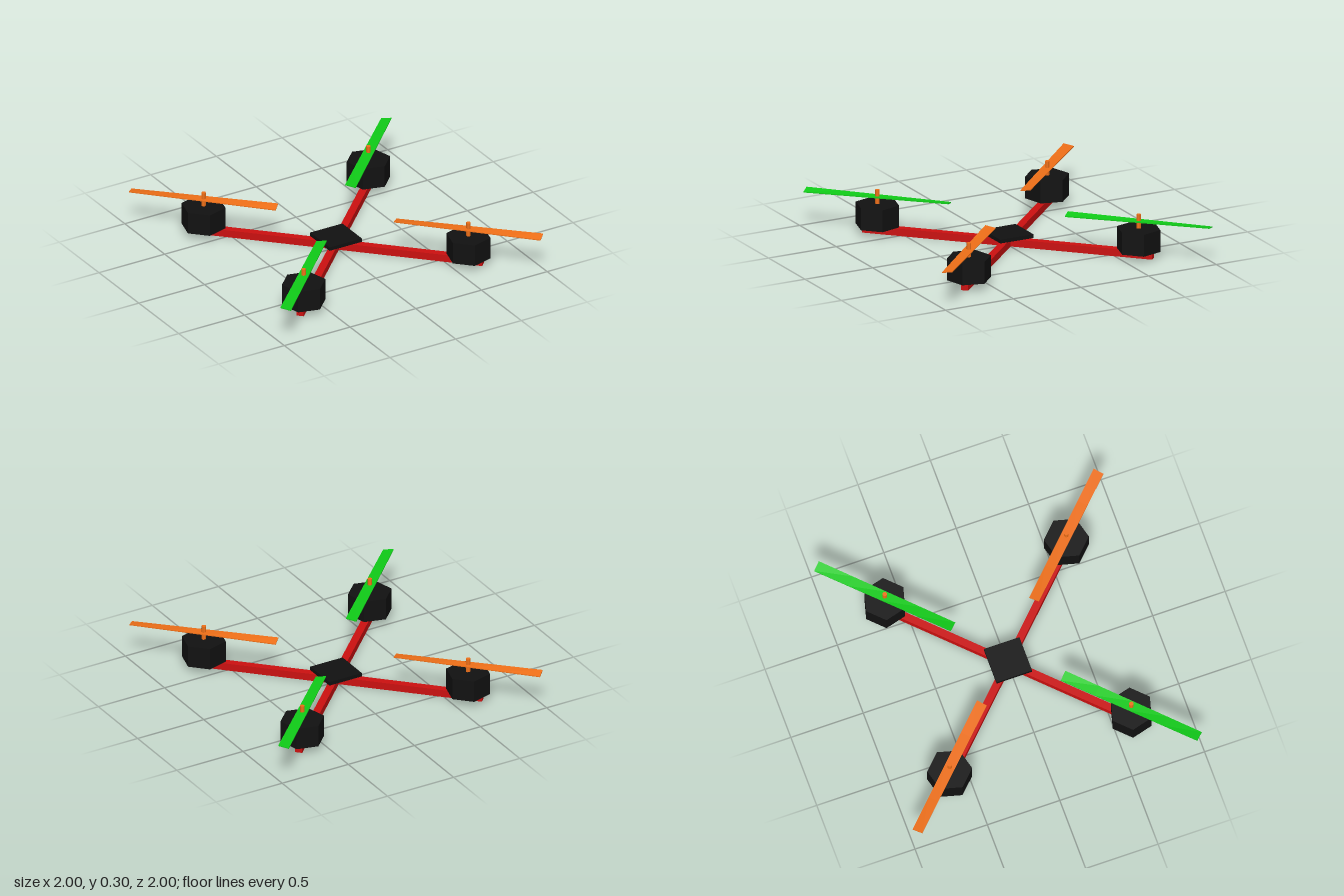
import * as THREE from 'three';

const material = (color) => new THREE.MeshStandardMaterial({ color, flatShading: true });

function addPart(parent, name, geometry, mat, y) {
  const mesh = new THREE.Mesh(geometry, mat);
  mesh.name = name;
  mesh.position.y = y;
  parent.add(mesh);
  return mesh;
}

// Thin blade whose two ends pitch in opposite directions; hand (+1 / -1) sets the spin
function bladeGeometry(hand) {
  const length = 0.982, width = 0.07, lift = 0.006;
  const geometry = new THREE.BoxGeometry(length, 0.006, width, 4, 1, 1);
  const p = geometry.attributes.position;
  for (let i = 0; i < p.count; i++) {
    const twist = (p.getX(i) / (length / 2)) * (p.getZ(i) / (width / 2));
    p.setY(i, p.getY(i) + hand * lift * twist);
  }
  geometry.computeVertexNormals();
  return geometry;
}

export function createModel() {
  const model = new THREE.Group();
  model.name = 'quadcopter';

  const red = material(0xcc1010);
  const black = material(0x111111);
  const orange = material(0xf07018);
  const green = material(0x10cc18);

  // Two crossed frame bars
  for (const angle of [Math.PI / 4, -Math.PI / 4]) {
    addPart(model, 'frameBar', new THREE.BoxGeometry(1.97, 0.05, 0.05), red, 0.025).rotation.y = angle;
  }

  // Square plate hovering over the crossing
  addPart(model, 'centerPlate', new THREE.BoxGeometry(0.245, 0.025, 0.245), black, 0.077);

  // Four rotors, each with its local +x pointing outwards along its bar
  for (let i = 0; i < 4; i++) {
    const angle = Math.PI / 4 + (i * Math.PI) / 2;
    const isGreen = i % 2 === 0;
    const rotor = new THREE.Group();
    rotor.name = 'rotor';
    rotor.position.set(0.887 * Math.cos(angle), 0, -0.887 * Math.sin(angle));
    rotor.rotation.y = angle;
    model.add(rotor);

    // Hexagonal motor with a corner pointing outwards
    addPart(rotor, 'motor', new THREE.CylinderGeometry(0.147, 0.147, 0.15, 6, 1, false, Math.PI / 2), black, 0.125);
    addPart(rotor, 'shaft', new THREE.CylinderGeometry(0.015, 0.015, 0.105, 8), orange, 0.243);
    addPart(rotor, 'propeller', bladeGeometry(isGreen ? 1 : -1), isGreen ? green : orange, 0.249);
  }
  return model;
}
